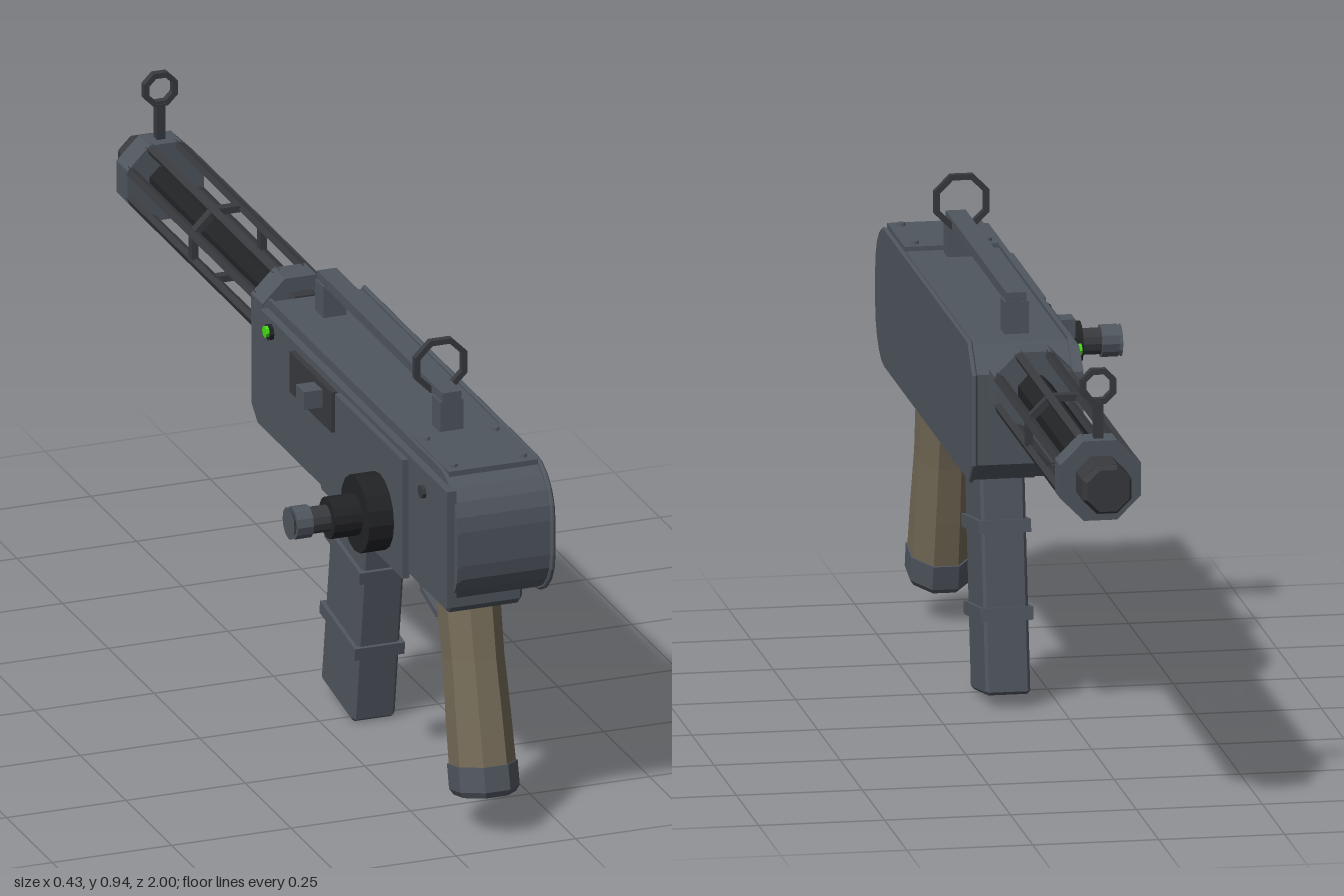
import * as THREE from 'three';

const CX = 0.105; // centre plane of the main body
const mat = (color) => new THREE.MeshStandardMaterial({ color, flatShading: true });

export function createModel() {
  const root = new THREE.Group();
  const steel = mat(0x50565f), dark = mat(0x383a3e), black = mat(0x222325);
  const wood = mat(0x746a57), green = mat(0x44dd11);

  const add = (name, geo, material, parent = root) => {
    const m = new THREE.Mesh(geo, material);
    m.name = name;
    parent.add(m);
    return m;
  };
  // box given by its min / max on each axis
  const box = (name, x0, x1, y0, y1, z0, z1, material = steel, parent = root) => {
    const g = new THREE.BoxGeometry(x1 - x0, y1 - y0, z1 - z0);
    g.translate((x0 + x1) / 2, (y0 + y1) / 2, (z0 + z1) / 2);
    return add(name, g, material, parent);
  };
  // side profile of [z, y] points extruded from x0 to x1
  const slab = (name, pts, x0, x1, material = steel, bevel = 0) => {
    const shape = new THREE.Shape(pts.map(([z, y]) => new THREE.Vector2(z, y)));
    const g = new THREE.ExtrudeGeometry(shape, {
      depth: x1 - x0 - 2 * bevel, bevelEnabled: bevel > 0,
      bevelSize: bevel, bevelThickness: bevel, bevelOffset: -bevel, bevelSegments: 1,
    });
    g.rotateY(-Math.PI / 2);
    g.translate(x1 - bevel, 0, 0);
    return add(name, g, material);
  };
  // cylinder along z or x between two positions; octagons sit on a flat
  const rodZ = (name, r, z0, z1, y, material, sides = 8, r2 = r) => {
    const g = new THREE.CylinderGeometry(r2, r, z1 - z0, sides);
    g.rotateY(Math.PI / sides);
    g.rotateX(Math.PI / 2);
    g.translate(0.1, y, (z0 + z1) / 2);
    return add(name, g, material);
  };
  const rodX = (name, r, x0, x1, y, z, material, sides = 16, r2 = r) => {
    const g = new THREE.CylinderGeometry(r, r2, x1 - x0, sides);
    g.rotateZ(Math.PI / 2);
    g.translate((x0 + x1) / 2, y, z);
    return add(name, g, material);
  };
  // flat octagonal ring facing z
  const ring = (name, rOut, rIn, z0, z1, x, y, material) => {
    const pts = (r) => Array.from({ length: 8 }, (_, i) => {
      const a = (i + 0.5) * Math.PI / 4;
      return new THREE.Vector2(r * Math.cos(a), r * Math.sin(a));
    });
    const s = new THREE.Shape(pts(rOut));
    s.holes.push(new THREE.Path(pts(rIn)));
    const g = new THREE.ExtrudeGeometry(s, { depth: z1 - z0, bevelEnabled: false });
    g.translate(x, y, z0);
    return add(name, g, material);
  };

  // receiver: rounded rear, chamfered front, between two side plates
  const profile = (inset) => {
    const pts = [[-0.098 + inset, 0.545], [-0.055, 0.503 + inset]];
    const r = 0.105;
    for (let i = 0; i <= 5; i++) {
      const a = -Math.PI / 2 + i * Math.PI / 10;
      pts.push([0.893 + (r - inset) * Math.cos(a), 0.608 + (r - inset) * Math.sin(a)]);
    }
    for (let i = 0; i <= 5; i++) {
      const a = i * Math.PI / 10;
      pts.push([0.893 + (r - inset) * Math.cos(a), 0.679 + (r - inset) * Math.sin(a)]);
    }
    pts.push([-0.04, 0.784 - inset], [-0.098 + inset, 0.727]);
    return pts;
  };
  slab('receiver', profile(0.007), 0.008, 0.204);
  slab('rightSidePlate', profile(0), 0.2, 0.21, steel, 0.003);
  slab('leftSidePlate', profile(0), 0.004, 0.012);
  slab('leftCover', [[-0.09, 0.55], [-0.055, 0.52], [0.98, 0.52], [0.98, 0.765],
    [-0.04, 0.765], [-0.09, 0.725]], -0.012, 0.008);

  // left side fittings
  box('knobPanel', -0.024, -0.01, 0.505, 0.755, 0.4, 0.77);
  box('slidePort', -0.024, -0.01, 0.665, 0.75, 0.15, 0.38, dark);
  box('slideHandle', -0.062, -0.02, 0.7, 0.737, 0.285, 0.33);
  rodX('indicatorRim', 0.017, -0.02, -0.01, 0.74, 0.02, black, 8);
  rodX('indicatorLight', 0.012, -0.027, -0.015, 0.742, 0.02, green, 8);
  rodX('sideScrew', 0.014, -0.02, -0.01, 0.72, 0.855, dark, 8);
  rodX('knobBase', 0.078, -0.076, -0.015, 0.602, 0.645, black);
  rodX('knobCollar', 0.042, -0.135, -0.07, 0.602, 0.645, black);
  rodX('knobNeck', 0.027, -0.175, -0.13, 0.602, 0.645, dark, 12);
  rodX('knobTip', 0.033, -0.208, -0.174, 0.602, 0.645, steel, 12);
  rodX('knobTipEnd', 0.033, -0.215, -0.208, 0.602, 0.645, steel, 12, 0.025);

  // rear top plate with rivets
  box('topPlate', 0.012, 0.198, 0.775, 0.786, 0.73, 0.93);
  for (const x of [0.03, 0.175]) for (const z of [0.755, 0.905]) {
    const rivet = new THREE.CylinderGeometry(0.008, 0.01, 0.008, 8);
    rivet.translate(x, 0.788, z);
    add('rivet', rivet, steel);
  }

  // top rail on two posts
  box('topRail', 0.08, 0.12, 0.84, 0.86, 0.03, 0.715, steel);
  for (const z of [0.052, 0.692]) box('railPost', 0.076, 0.124, 0.77, 0.842, z - 0.023, z + 0.023);

  // ring sights
  ring('rearSight', 0.059, 0.047, 0.643, 0.657, 0.1, 0.894, dark);
  ring('frontSight', 0.038, 0.026, -0.892, -0.877, 0.1, 0.894, dark);
  box('frontSightPost', 0.091, 0.109, 0.78, 0.864, -0.894, -0.875, dark);

  // barrel inside an open octagonal cage
  const BY = 0.71, R = 0.0866;
  rodZ('barrelSeat', 0.055, -0.125, -0.085, BY, dark);
  rodZ('barrel', 0.036, -0.93, -0.1, BY, black);
  rodZ('muzzle', 0.053, -0.985, -0.905, BY, dark);
  rodZ('muzzleLip', 0.045, -1, -0.984, BY, dark, 8, 0.053);
  ring('rearCollar', R, 0.036, -0.175, -0.112, 0.1, BY, steel);
  ring('frontCollar', R, 0.036, -0.912, -0.852, 0.1, BY, steel);
  ring('middleRing', R - 0.002, 0.07, -0.522, -0.502, 0.1, BY, dark);
  for (let i = 0; i < 8; i++) {
    const a = (i + 0.5) * Math.PI / 4;
    const bar = add('cageBar', new THREE.BoxGeometry(0.013, 0.016, 0.7), dark);
    bar.position.set(0.1 + (R - 0.009) * Math.cos(a), BY + (R - 0.009) * Math.sin(a), -0.512);
    bar.rotation.z = a;
  }

  // grip mount and octagonal grip, swept back
  slab('gripMount', [[0.53, 0.51], [0.53, 0.483], [0.545, 0.468], [0.88, 0.468],
    [0.895, 0.483], [0.895, 0.51]], 0.025, 0.18, steel, 0.006);
  const grip = new THREE.Group();
  grip.name = 'grip';
  grip.position.set(0.1035, 0.48, 0.79);
  grip.rotation.x = -0.237;
  root.add(grip);
  const loft = (name, rows, material) => {
    const g = new THREE.LatheGeometry(rows.map(([r, y]) => new THREE.Vector2(r, y)), 8, Math.PI / 8);
    g.scale(0.8, 1, 1);
    add(name, g, material, grip);
  };
  loft('gripHandle', [[0, -0.36], [0.08, -0.36], [0.078, -0.26], [0.074, -0.14], [0.077, 0.02], [0, 0.02]], wood);
  loft('gripCap', [[0, -0.412], [0.074, -0.412], [0.084, -0.4], [0.084, -0.35], [0, -0.35]], steel);

  // trigger guard strip
  const guard = [[0.75, 0.4], [0.665, 0.376], [0.585, 0.397], [0.573, 0.475]];
  for (let i = 0; i < 3; i++) {
    const [z0, y0] = guard[i], [z1, y1] = guard[i + 1];
    const seg = add('triggerGuard', new THREE.BoxGeometry(0.03, 0.012, Math.hypot(z1 - z0, y1 - y0) + 0.008), steel);
    seg.position.set(0.1, (y0 + y1) / 2, (z0 + z1) / 2);
    seg.rotation.x = -Math.atan2(y1 - y0, z1 - z0);
  }
  box('magazineCatch', 0.08, 0.125, 0.465, 0.51, 0.395, 0.427, dark);

  // magazine well and tilted magazine with two bands
  slab('magazineWell', [[0.157, 0.51], [0.157, 0.47], [0.168, 0.452], [0.376, 0.452],
    [0.387, 0.47], [0.387, 0.51]], 0.035, 0.172, steel, 0.006);
  const lean = (y) => 0.262 - (0.455 - y) * 0.158; // centre line z at height y
  slab('magazine', [[lean(0.47) - 0.09, 0.47], [0.107, 0.037], [0.114, 0.03], [0.275, 0.004],
    [0.284, 0.01], [lean(0.47) + 0.09, 0.47]], 0.058, 0.147, steel, 0.006);
  for (const y of [0.345, 0.175]) {
    const band = add('magazineBand', new THREE.BoxGeometry(0.105, 0.026, 0.194), steel);
    band.position.set(0.1025, y, lean(y));
    band.rotation.x = 0.157;
  }
  return root;
}
